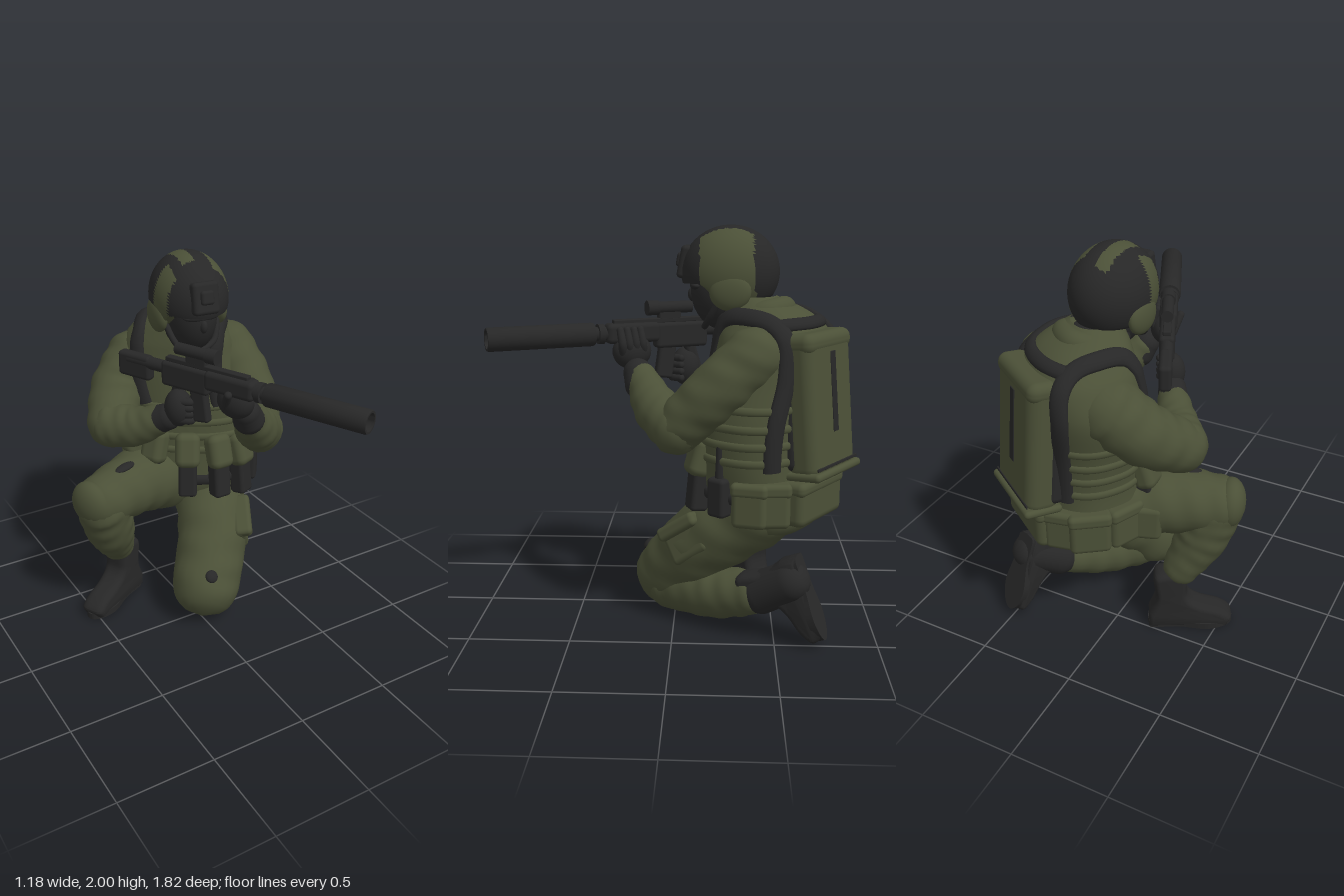
import * as THREE from 'three';
import { mergeVertices, toCreasedNormals } from 'three/addons/utils/BufferGeometryUtils.js';
import { RoundedBoxGeometry } from 'three/addons/geometries/RoundedBoxGeometry.js';
import { ParametricGeometry } from 'three/addons/geometries/ParametricGeometry.js';

const olive = new THREE.MeshStandardMaterial({ color: 0x4b5037 });
olive.name = 'olive cloth';
const black = new THREE.MeshStandardMaterial({ color: 0x272727 });
black.name = 'black gear';
const V = (x, y, z) => new THREE.Vector3(x, y, z);
const YAW = -0.6; // the body is turned towards its right

function add(parent, name, geo, mat, pos = [0, 0, 0], rot = [0, 0, 0]) {
  const m = new THREE.Mesh(geo, mat);
  m.name = name;
  m.position.set(...pos);
  m.rotation.set(...rot, 'YXZ');
  parent.add(m);
}
function group(parent, name, pos, rot) {
  const h = new THREE.Group();
  h.name = name;
  h.position.set(...pos);
  h.rotation.set(...rot, 'YXZ');
  parent.add(h);
  return h;
}
const box = (w, h, d, r = 0.02) => new RoundedBoxGeometry(w, h, d, 3, Math.min(r, w / 2.1, h / 2.1, d / 2.1));
const ball = (x, y, z) => new THREE.SphereGeometry(1, 24, 16).scale(x, y, z);

function weld(geo) {
  geo.deleteAttribute('uv');
  geo.deleteAttribute('normal');
  const g = mergeVertices(geo, 1e-4);
  g.computeVertexNormals();
  return g;
}

// Round-ended tube through [x, y, z, radius] points, with slight cloth folds
function limb(parent, name, mat, pts, folds = 0) {
  const p = pts.map(a => V(a[0], a[1], a[2])), n = p.length;
  const r0 = pts[0][3], r1 = pts[n - 1][3];
  const start = p[0].clone().sub(p[1]).setLength(r0).add(p[0]);
  const end = p[n - 1].clone().sub(p[n - 2]).setLength(r1).add(p[n - 1]);
  const curve = new THREE.CatmullRomCurve3([start, ...p, end]);
  const radii = [r0, ...pts.map(a => a[3]), r1];
  const steps = 40, sides = 20, len = curve.getLength();
  const geo = new THREE.TubeGeometry(curve, steps, 1, sides);
  const pos = geo.attributes.position, nor = geo.attributes.normal;
  for (let j = 0; j <= steps; j++) {
    const u = j / steps, c = curve.getPointAt(u), k = curve.getUtoTmapping(u) * (n + 1);
    const i0 = Math.min(Math.floor(k), n);
    let r = THREE.MathUtils.lerp(radii[i0], radii[i0 + 1], k - i0);
    for (const [d, e] of [[u * len, r0], [(1 - u) * len, r1]])
      if (d < e) r = Math.min(r, Math.sqrt(Math.max(0, e * e - (e - d) ** 2)));
    for (let i = 0; i <= sides; i++) {
      const id = j * (sides + 1) + i, a = i / sides * Math.PI * 2;
      const f = r * (1 + folds * Math.sin(u * 38 + 2 * Math.sin(a)) * Math.cos(a * 2 + u * 3));
      pos.setXYZ(id, c.x + nor.getX(id) * f, c.y + nor.getY(id) * f, c.z + nor.getZ(id) * f);
    }
  }
  add(parent, name, weld(geo), mat);
}

// Torso rings: y, centre x, centre z, half width, half depth
const rings = [
  [0.44, 0.2, -0.45, 0.02, 0.02], [0.55, 0.2, -0.46, 0.26, 0.23], [0.72, 0.2, -0.45, 0.33, 0.27],
  [0.9, 0.21, -0.44, 0.34, 0.26], [1.1, 0.2, -0.45, 0.35, 0.26], [1.32, 0.17, -0.49, 0.34, 0.26],
  [1.48, 0.17, -0.49, 0.29, 0.25], [1.58, 0.16, -0.45, 0.21, 0.2], [1.66, 0.14, -0.38, 0.11, 0.11]];
const centres = new THREE.CatmullRomCurve3(rings.map(r => V(r[1], r[0], r[2])));
const sizes = new THREE.CatmullRomCurve3(rings.map(r => V(r[3], r[4], 0)));
function torsoPoint(a, v) {
  const c = centres.getPoint(v), s = sizes.getPoint(v);
  const pw = t => Math.sign(t) * Math.abs(t) ** 0.85;
  const l = pw(Math.sin(a)) * s.x, f = pw(Math.cos(a)) * s.y;
  return V(c.x + l * Math.cos(YAW) + f * Math.sin(YAW), c.y, c.z - l * Math.sin(YAW) + f * Math.cos(YAW));
}

// Flat strap lying on the torso along [angle, height] points
function strap(g, name, mat, path, halfWidth, halfThick) {
  const curve = new THREE.CatmullRomCurve3(path.map(([a, v]) => V(a, v, 0)));
  const at = (t, da = 0, dv = 0) => {
    const c = curve.getPoint(THREE.MathUtils.clamp(t, 0, 1));
    return torsoPoint(c.x + da, c.y + dv);
  };
  const geo = new ParametricGeometry((u, t, target) => {
    const along = at(t + 0.01).sub(at(t - 0.01));
    const out = at(t, 0.03).sub(at(t, -0.03)).cross(at(t, 0, 0.01).sub(at(t, 0, -0.01))).normalize();
    const side = along.cross(out).normalize(), k = u * Math.PI * 2;
    target.copy(at(t)).addScaledVector(side, Math.cos(k) * halfWidth).addScaledVector(out, -Math.sin(k) * halfThick);
  }, 12, 64);
  add(g, name, weld(geo), mat);
}

function buildTorso(g) {
  add(g, 'torso', weld(new ParametricGeometry((u, v, t) => t.copy(torsoPoint(u * Math.PI * 2, v)), 48, 40)), olive);
  const ring = v => Array.from({ length: 17 }, (_, i) => [i / 8 * Math.PI, v]);
  strap(g, 'belt', black, ring(0.26), 0.03, 0.02);
  for (const v of [0.385, 0.435, 0.485, 0.535]) strap(g, 'webbing', olive, ring(v), 0.02, 0.013);
  // shoulder straps, with a yoke joining them behind the neck
  for (const s of [-1, 1])
    strap(g, 'shoulderStrap', black, [[0.55, 0.54], [0.62, 0.68], [0.95, 0.82], [1.65, 0.87], [2.3, 0.79], [2.45, 0.62], [2.4, 0.36]].map(([a, v]) => [a * s, v]), 0.046, 0.026);
  strap(g, 'strapYoke', black, [[2.1, 0.82], [2.6, 0.83], [3.14, 0.83], [3.68, 0.83], [4.18, 0.82]], 0.035, 0.022);
  limb(g, 'collar', olive, [[0.04, 1.57, -0.46, 0.06], [0.16, 1.6, -0.53, 0.06], [0.27, 1.59, -0.44, 0.06], [0.25, 1.56, -0.3, 0.05]]);
}

// A group standing on the belt at angle a, with +z pointing outwards
function onBelt(g, name, a, y) {
  const p = torsoPoint(a, 0.26), c = centres.getPoint(0.26);
  return group(g, name, [p.x, y, p.z], [0, Math.atan2(p.x - c.x, p.z - c.z), 0]);
}

function buildPouches(g) {
  for (const a of [-0.85, -0.4, 0.03, 0.48, 0.94]) {
    const h = onBelt(g, 'magazinePouch', a, 0.81 - a * 0.03);
    add(h, 'magazine', box(0.1, 0.23, 0.09), black, [0, -0.03, 0.03], [-0.1, 0, 0]);
    add(h, 'pouchFlap', box(0.135, 0.19, 0.11, 0.04), olive, [0, 0.12, 0.02], [-0.3, 0, 0]);
  }
  const radio = onBelt(g, 'radio', 1.5, 0.74);
  add(radio, 'radioBody', box(0.1, 0.19, 0.08), black, [0, 0, 0.02]);
  add(radio, 'antenna', new THREE.CylinderGeometry(0.016, 0.022, 0.2, 12), black, [0, 0.16, 0.02]);
  for (const [a, w] of [[1.95, 0.17], [2.35, 0.17], [-1.4, 0.18], [-1.95, 0.2], [-2.45, 0.18]]) {
    const h = onBelt(g, 'sidePouch', a, 0.71);
    add(h, 'pouchBody', box(w, 0.21, 0.1, 0.03), olive, [0, 0, -0.01]);
    add(h, 'pouchLid', box(w + 0.01, 0.07, 0.11, 0.025), olive, [0, 0.08, -0.01]);
  }
  const rear = onBelt(g, 'rearPouch', Math.PI, 0.71);
  add(rear, 'pouchBody', box(0.4, 0.21, 0.13, 0.04), olive);
  add(rear, 'pouchLid', box(0.41, 0.07, 0.14, 0.03), olive, [0, 0.08, 0]);
}

function buildPack(g) {
  const p = group(g, 'backpack', [0.332, 1.17, -0.697], [0.09, YAW, 0]);
  add(p, 'packFrame', box(0.42, 0.6, 0.1, 0.04), black, [0, 0, 0.065]);
  add(p, 'packBody', box(0.41, 0.68, 0.165, 0.06), olive);
  add(p, 'packLid', box(0.415, 0.1, 0.172, 0.045), olive, [0, 0.295, 0]);
  add(p, 'packBase', box(0.43, 0.04, 0.19, 0.02), olive, [0, -0.32, -0.005]);
  add(p, 'packBaseTrim', box(0.38, 0.015, 0.008, 0.003), black, [0, -0.285, -0.083]);
  add(p, 'packStripe', box(0.045, 0.38, 0.008, 0.003), black, [0, 0.06, -0.083]);
}

function buildHead(g) {
  limb(g, 'neck', black, [[0.14, 1.5, -0.38, 0.12], [0.12, 1.66, -0.3, 0.12]]);
  add(g, 'scarf', new THREE.TorusGeometry(0.1, 0.045, 12, 28).rotateX(Math.PI / 2 + 0.3), black, [0.14, 1.57, -0.34]);
  const h = group(g, 'head', [0.1, 1.77, -0.27], [0.06, -0.1, 0]);
  add(h, 'face', ball(0.125, 0.19, 0.16), black, [0, -0.09, 0.04]);
  add(h, 'nose', ball(0.02, 0.035, 0.025), black, [0, -0.1, 0.19]);
  add(h, 'brow', ball(0.1, 0.025, 0.04), black, [0, -0.055, 0.16]);
  // helmet shell, cut higher over the face, painted in uneven panels
  const shell = new THREE.SphereGeometry(1, 64, 48).scale(0.195, 0.225, 0.24);
  const pos = shell.attributes.position;
  for (let i = 0; i < pos.count; i++)
    pos.setY(i, Math.max(pos.getY(i), -0.13 + 0.09 * THREE.MathUtils.smoothstep(pos.getZ(i), 0.02, 0.15)));
  const geo = weld(shell), idx = geo.index.array, q = geo.attributes.position, parts = [[], []];
  const isOlive = (x, z) => (x > 0.07 && Math.abs(z) < 0.13) || (x > -0.075 && x < -0.01 && z > -0.17 && z < 0.09) || (x < -0.12 && z > 0.01 && z < 0.12);
  for (let i = 0; i < idx.length; i += 3) {
    const t = [idx[i], idx[i + 1], idx[i + 2]];
    const x = t.reduce((s, k) => s + q.getX(k), 0) / 3, z = t.reduce((s, k) => s + q.getZ(k), 0) / 3;
    parts[isOlive(x, z) ? 0 : 1].push(...t);
  }
  geo.setIndex(parts.flat());
  geo.addGroup(0, parts[0].length, 0);
  geo.addGroup(parts[0].length, parts[1].length, 1);
  add(h, 'helmet', toCreasedNormals(geo, 0.7), [olive, black]);
  for (const s of [-1, 1]) {
    add(h, 'earCover', ball(0.04, 0.09, 0.1), olive, [s * 0.165, -0.085, -0.01]);
    limb(h, 'chinStrap', black, [[s * 0.14, -0.13, 0.05, 0.016], [s * 0.1, -0.22, 0.11, 0.016], [0, -0.26, 0.14, 0.016]]);
  }
  add(h, 'goggleMount', box(0.14, 0.16, 0.06, 0.02), black, [-0.01, 0.06, 0.215], [-0.25, 0, 0]);
  add(h, 'mountLatch', box(0.07, 0.07, 0.05, 0.015), black, [-0.01, 0.07, 0.235], [-0.25, 0, 0]);
}

const bootProfile = [[0.31, 0.05], [0.25, 0.1], [0.14, 0.14], [0.08, 0.2], [0.065, 0.33], [-0.085, 0.33], [-0.085, 0.18], [-0.12, 0.08]];
const solePoints = [[-0.1, -0.055], [0.04, -0.055], [0.18, -0.078], [0.28, -0.05], [0.315, 0], [0.28, 0.05], [0.18, 0.078], [0.04, 0.055], [-0.1, 0.055], [-0.125, 0]];
const outline = (first, pts) => new THREE.Shape(first.map(p => new THREE.Vector2(...p))).splineThru(pts.map(p => new THREE.Vector2(...p)));
function buildBoot(g, name, origin, toe, up) {
  const b = group(g, name, origin, [0, 0, 0]), x = toe.normalize(), z = x.clone().cross(up).normalize();
  b.quaternion.setFromRotationMatrix(new THREE.Matrix4().makeBasis(x, z.clone().cross(x), z));
  const upper = new THREE.ExtrudeGeometry(outline([[-0.12, 0], [0.29, 0]], bootProfile), { depth: 0.05, bevelSize: 0.03, bevelOffset: -0.03, bevelThickness: 0.045, bevelSegments: 5, curveSegments: 24 });
  add(b, 'bootUpper', toCreasedNormals(upper, 1), black, [0, 0.005, -0.025]);
  const sole = new THREE.ExtrudeGeometry(outline([[-0.125, 0], [-0.12, -0.03]], solePoints), { depth: 0.035, bevelEnabled: false, curveSegments: 30 });
  add(b, 'bootSole', toCreasedNormals(sole.rotateX(-Math.PI / 2), 0.8), black);
}

function buildLegs(g) {
  // raised right leg
  limb(g, 'rightThigh', olive, [[0.1, 0.67, -0.45, 0.2], [-0.16, 0.73, -0.36, 0.18], [-0.43, 0.73, -0.26, 0.145]], 0.03);
  limb(g, 'rightShin', olive, [[-0.43, 0.69, -0.26, 0.145], [-0.38, 0.52, -0.3, 0.135], [-0.31, 0.36, -0.37, 0.095]], 0.03);
  add(g, 'rightKneePad', ball(0.08, 0.13, 0.12), olive, [-0.505, 0.74, -0.24], [0, 0.4, 0.1]);
  add(g, 'rightPocket', box(0.24, 0.19, 0.08, 0.03), olive, [-0.14, 0.7, -0.52], [0, 0.38, 0.05]);
  add(g, 'rightThighPatch', ball(0.07, 0.016, 0.03), black, [-0.29, 0.885, -0.27], [0, 0.35, 0.05]);
  buildBoot(g, 'rightBoot', [-0.27, 0, -0.4], V(-0.88, 0, 0.47), V(0, 1, 0));
  // kneeling left leg
  limb(g, 'leftThigh', olive, [[0.29, 0.64, -0.42, 0.2], [0.19, 0.43, -0.16, 0.195], [0.04, 0.2, 0.02, 0.185]], 0.03);
  limb(g, 'leftShin', olive, [[0.08, 0.16, 0.0, 0.155], [0.24, 0.17, -0.22, 0.14], [0.36, 0.21, -0.38, 0.11]], 0.03);
  add(g, 'leftPocket', box(0.09, 0.2, 0.23, 0.03), olive, [0.3, 0.465, -0.07], [0.6, -0.45, 0.2]);
  add(g, 'leftPocketFlap', box(0.1, 0.07, 0.24, 0.025), olive, [0.3, 0.53, -0.03], [0.6, -0.45, 0.2]);
  add(g, 'leftKneePatch', ball(0.035, 0.035, 0.02), black, [0, 0.33, 0.145], [-0.7, 0, 0]);
  limb(g, 'leftBootShaft', black, [[0.39, 0.23, -0.44, 0.108], [0.47, 0.32, -0.57, 0.1]]);
  buildBoot(g, 'leftBoot', [0.48, 0.34, -0.645], V(0.12, -0.93, -0.33), V(-0.35, -0.3, 0.9));
}

function buildArms(g) {
  limb(g, 'leftUpperArm', olive, [[0.41, 1.4, -0.38, 0.14], [0.43, 1.24, -0.21, 0.14], [0.39, 1.06, -0.03, 0.125]], 0.03);
  limb(g, 'leftForearm', olive, [[0.39, 1.05, -0.02, 0.125], [0.3, 1.13, 0.08, 0.115], [0.19, 1.26, 0.16, 0.075]], 0.03);
  limb(g, 'leftCuff', black, [[0.2, 1.23, 0.16, 0.083], [0.17, 1.28, 0.18, 0.072]]);
  limb(g, 'rightUpperArm', olive, [[-0.05, 1.34, -0.6, 0.16], [-0.19, 1.21, -0.53, 0.15], [-0.3, 1.1, -0.39, 0.13]], 0.03);
  limb(g, 'rightForearm', olive, [[-0.3, 1.1, -0.37, 0.125], [-0.22, 1.12, -0.25, 0.105], [-0.13, 1.2, -0.12, 0.07]], 0.03);
  limb(g, 'rightCuff', black, [[-0.15, 1.18, -0.15, 0.076], [-0.12, 1.21, -0.1, 0.07]]);
}

function buildRifle(g) {
  const r = group(g, 'rifle', [0.14, 1.465, 0.4], [0, 0.43, 0]);
  const tube = (name, rad, z0, z1, y = 0) =>
    add(r, name, new THREE.CylinderGeometry(rad, rad, z1 - z0, 24).rotateX(Math.PI / 2), black, [0, y, (z0 + z1) / 2]);
  const bore = [[0, 0], [0.054, 0], [0.058, 0.01], [0.058, 0.52], [0.054, 0.53], [0.044, 0.53], [0.042, 0.42], [0, 0.42]];
  add(r, 'suppressor', toCreasedNormals(new THREE.LatheGeometry(bore.map(p => new THREE.Vector2(...p)), 28).rotateX(Math.PI / 2), 0.5), black);
  tube('barrel', 0.035, -0.08, 0.01);
  tube('barrelCollar', 0.05, -0.05, -0.02);
  add(r, 'handguard', box(0.09, 0.1, 0.28, 0.025), black, [0, 0, -0.2]);
  add(r, 'receiver', box(0.075, 0.13, 0.28, 0.02), black, [0, -0.02, -0.46]);
  add(r, 'topRail', box(0.04, 0.025, 0.48, 0.006), black, [0, 0.055, -0.34]);
  add(r, 'magazine', box(0.05, 0.2, 0.09, 0.015), black, [0, -0.14, -0.38], [-0.15, 0, 0]);
  add(r, 'grip', box(0.045, 0.16, 0.06, 0.02), black, [0, -0.14, -0.53], [0.3, 0, 0]);
  tube('stockTube', 0.032, -0.82, -0.58);
  add(r, 'stock', box(0.06, 0.13, 0.2, 0.02), black, [0, -0.03, -0.78]);
  // optic
  tube('sight', 0.03, -0.52, -0.29, 0.118);
  tube('sightLens', 0.037, -0.34, -0.28, 0.118);
  add(r, 'sightMount', box(0.04, 0.05, 0.12, 0.01), black, [0, 0.08, -0.4]);
  // gloved hands
  add(r, 'leftPalm', ball(0.07, 0.09, 0.1), black, [0.025, -0.09, -0.19]);
  add(r, 'rightPalm', ball(0.07, 0.1, 0.075), black, [-0.02, -0.19, -0.5]);
  for (let i = 0; i < 4; i++) {
    const z = -0.24 + i * 0.035, y = -0.14 - i * 0.034;
    limb(r, 'leftFinger', black, [[0.05, -0.11, z, 0.022], [0.075, -0.05, z + 0.01, 0.021], [0.055, 0.02, z + 0.015, 0.018]]);
    limb(r, 'rightFinger', black, [[-0.05, y, -0.48, 0.021], [-0.02, y, -0.425, 0.021], [0.04, y, -0.45, 0.018]]);
  }
  limb(r, 'leftThumb', black, [[-0.02, -0.11, -0.22, 0.024], [-0.06, -0.03, -0.18, 0.02]]);
}

export function createModel() {
  const g = new THREE.Group();
  g.name = 'kneelingSoldier';
  [buildTorso, buildPouches, buildPack, buildHead, buildLegs, buildArms, buildRifle].forEach(build => build(g));
  return g;
}
